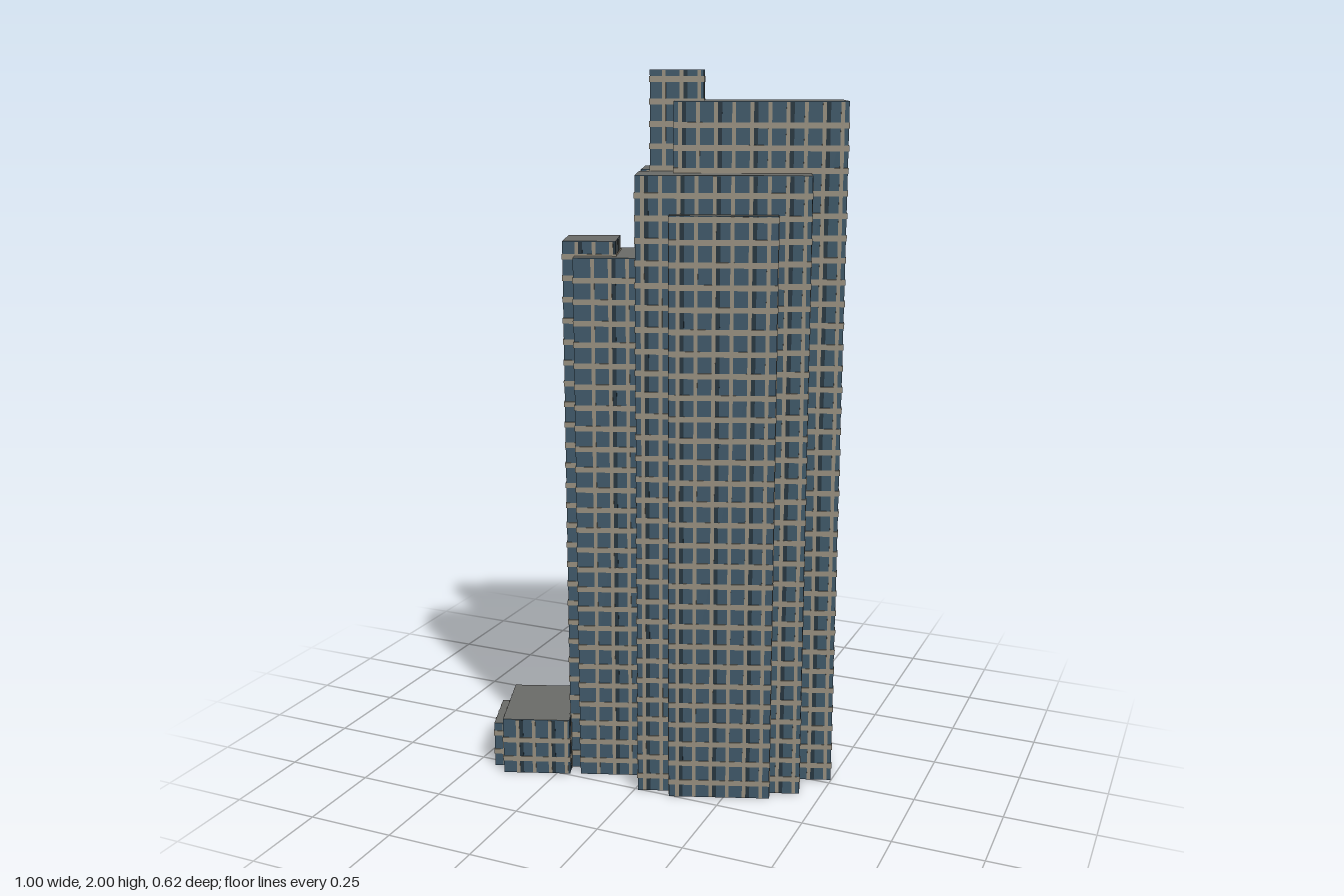
import * as THREE from 'three';
import { mergeGeometries } from 'three/addons/utils/BufferGeometryUtils.js';

const mat = (name, color) => {
  const m = new THREE.MeshStandardMaterial({ color });
  m.name = name;
  return m;
};

const FLOOR = 0.0585; // storey height
const BAY = 0.047;    // window bay width

// Box from its limits: x0..x1, y0..y1, z0..z1
function boxGeo(x0, x1, y0, y1, z0, z1) {
  const g = new THREE.BoxGeometry(x1 - x0, y1 - y0, z1 - z0);
  return g.translate((x0 + x1) / 2, (y0 + y1) / 2, (z0 + z1) / 2);
}

// Grid lines between a and b that keep clear of the corners
function gridLines(a, b, offset) {
  const out = [];
  for (let k = Math.ceil((a + 0.008 - offset) / BAY); offset + k * BAY < b - 0.008; k++) {
    out.push({ p: offset + k * BAY, dark: k % 2 === 0 });
  }
  return out;
}

export function createModel() {
  const glass = mat('blue glass', 0x40596a);
  const stone = mat('beige frame', 0x989080);
  const shade = mat('dark glass', 0x263640);
  const roof = mat('grey roof', 0x6a6b68);

  // name, x limits, z limits, height (in the turned building frame)
  const blocks = [
    ['mainTower', 0.018, 0.474, -0.105, 0.154, 1.92],
    ['towerCore', -0.05, 0.376, -0.18, 0.232, 1.733],
    ['backWing', -0.079, 0.38, -0.19, -0.008, 1.735],
    ['frontWing', -0.079, 0.38, 0.062, 0.242, 1.735],
    ['backBay', 0.012, 0.295, -0.221, -0.1, 1.635],
    ['frontBay', 0.011, 0.294, 0.1, 0.275, 1.635],
    ['liftShaft', -0.05, 0.094, -0.008, 0.062, 2.0],
    ['sideTower', -0.253, -0.045, -0.094, 0.152, 1.51],
    ['sideTowerBay', -0.286, -0.141, -0.05, 0.108, 1.55],
    ['lowAnnex', -0.478, -0.284, -0.092, 0.153, 0.168],
    ['annexPorch', -0.511, -0.47, -0.051, 0.11, 0.135],
  ];

  const building = new THREE.Group();
  building.name = 'building';
  building.rotation.y = THREE.MathUtils.degToRad(20.3);

  for (const [name, x0, x1, z0, z1, h] of blocks) {
    const block = new THREE.Group();
    block.name = name;
    const add = (part, geo, material) => {
      const mesh = new THREE.Mesh(geo, material);
      mesh.name = part;
      block.add(mesh);
    };

    // Glass walls with a plain roof and underside
    add('walls', boxGeo(x0, x1, 0, h, z0, z1), [glass, glass, roof, roof, glass, glass]);

    // Floor bands wrap around the block
    const frame = [];
    const t = 0.002;
    for (let y = 0.045; y < h - 0.01; y += FLOOR) {
      frame.push(boxGeo(x0 - t, x1 + t, y - 0.0075, y + 0.0075, z0 - t, z1 + t));
    }

    // Upright mullions, every other one with a dark pane beside it
    const dark = [];
    const d = 0.001;
    for (const { p, dark: isDark } of gridLines(x0, x1, 0.0345)) {
      for (const z of [z0, z1]) {
        frame.push(boxGeo(p - 0.005, p + 0.005, 0.001, h - 0.002, z - t, z + t));
        if (isDark) dark.push(boxGeo(p + 0.005, Math.min(p + 0.016, x1), 0.001, h - 0.002, z - d, z + d));
      }
    }
    for (const { p, dark: isDark } of gridLines(z0, z1, 0.0235)) {
      for (const x of [x0, x1]) {
        frame.push(boxGeo(x - t, x + t, 0.001, h - 0.002, p - 0.005, p + 0.005));
        if (isDark) dark.push(boxGeo(x - d, x + d, 0.001, h - 0.002, p + 0.005, Math.min(p + 0.016, z1)));
      }
    }
    add('windowFrames', mergeGeometries(frame), stone);
    if (dark.length) add('darkPanes', mergeGeometries(dark), shade);
    building.add(block);
  }

  const model = new THREE.Group();
  model.name = 'officeTower';
  model.add(building);
  return model;
}
